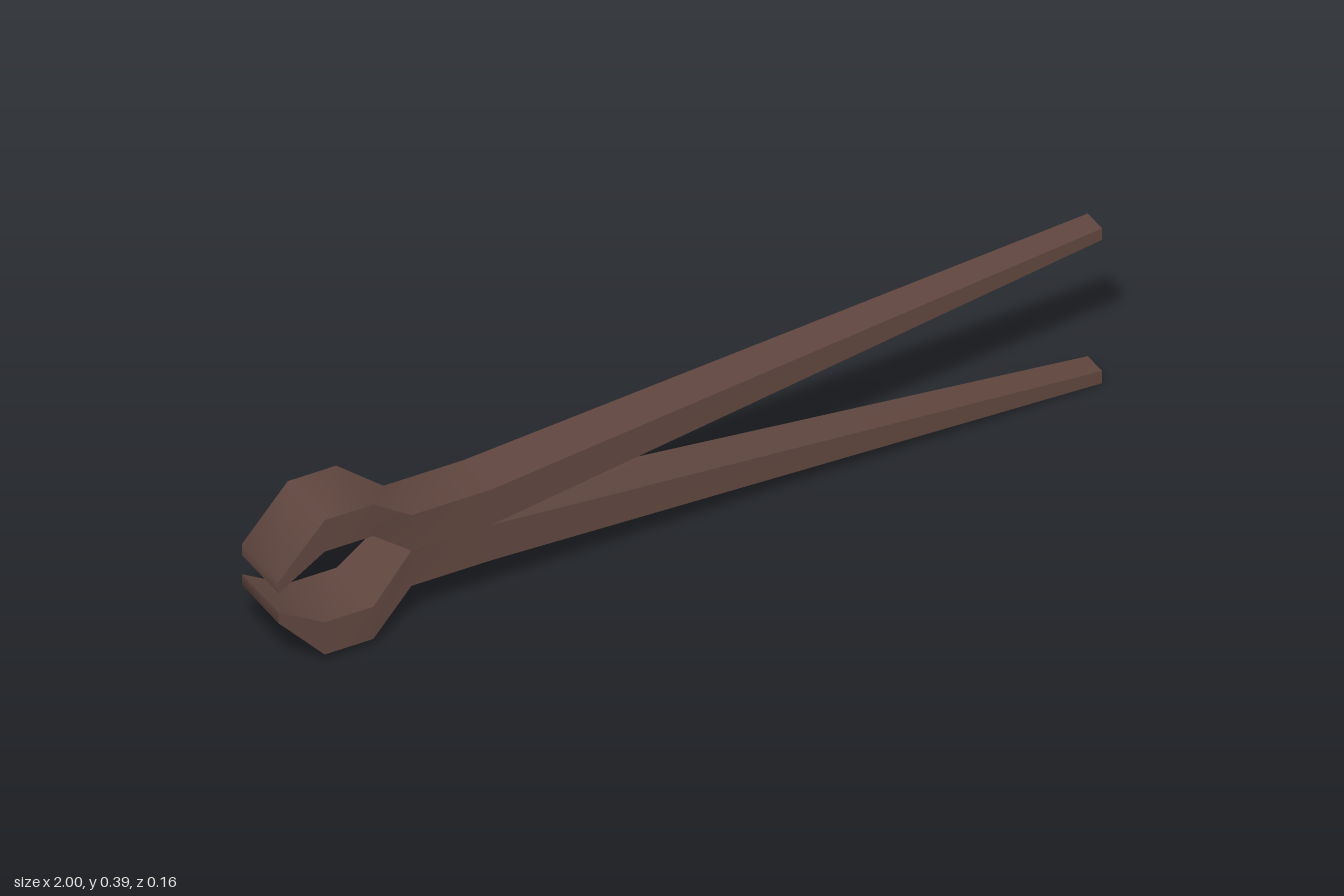
import * as THREE from 'three';
import { toCreasedNormals } from 'three/addons/utils/BufferGeometryUtils.js';

// Skin a bar through box cross-sections [x, yLow, yHigh, zBack, zFront], ordered along +x
function loftBar(sections) {
  const positions = [];
  const index = [];
  for (const [x, lo, hi, back, front] of sections) {
    positions.push(x, lo, front, x, hi, front, x, hi, back, x, lo, back);
  }
  const quad = (a, b, c, d) => index.push(a, b, c, a, c, d);
  for (let i = 0; i < sections.length - 1; i++) {
    for (let k = 0; k < 4; k++) {
      const a = i * 4 + k;
      const b = i * 4 + ((k + 1) % 4);
      quad(a, a + 4, b + 4, b);
    }
  }
  const e = (sections.length - 1) * 4;
  quad(0, 1, 2, 3);
  quad(e + 3, e + 2, e + 1, e);
  const geometry = new THREE.BufferGeometry();
  geometry.setAttribute('position', new THREE.Float32BufferAttribute(positions, 3));
  geometry.setIndex(index);
  return toCreasedNormals(geometry, 0.85);
}

export function createModel() {
  const group = new THREE.Group();
  group.name = 'tongs';
  const iron = new THREE.MeshStandardMaterial({ color: 0x60463f });
  iron.name = 'brown iron';

  // Each half runs from jaw tip, around the jaw, through the joint, to the handle end
  const halves = {
    upperHalf: [
      [-1, 0.212, 0.24, -0.077, 0.08],
      [-0.89, 0.28, 0.36, -0.08, 0.079],
      [-0.775, 0.28, 0.36, -0.08, 0.079],
      [-0.67, 0.19, 0.28, -0.068, 0.052],
      [-0.48, 0.19, 0.28, -0.068, 0.052],
      [1, 0.365, 0.394, -0.073, -0.012],
    ],
    lowerHalf: [
      [-1, 0.136, 0.163, -0.077, 0.08],
      [-0.89, 0.1, 0.018, -0.08, 0.079],
      [-0.775, 0.1, 0.018, -0.08, 0.079],
      [-0.67, 0.1, 0.19, -0.068, 0.052],
      [-0.48, 0.1, 0.19, -0.068, 0.052],
      [1, 0, 0.031, -0.073, -0.012],
    ].map(([x, a, b, back, front]) => [x, Math.min(a, b), Math.max(a, b), back, front]),
  };
  for (const [name, sections] of Object.entries(halves)) {
    const mesh = new THREE.Mesh(loftBar(sections), iron);
    mesh.name = name;
    group.add(mesh);
  }
  return group;
}
